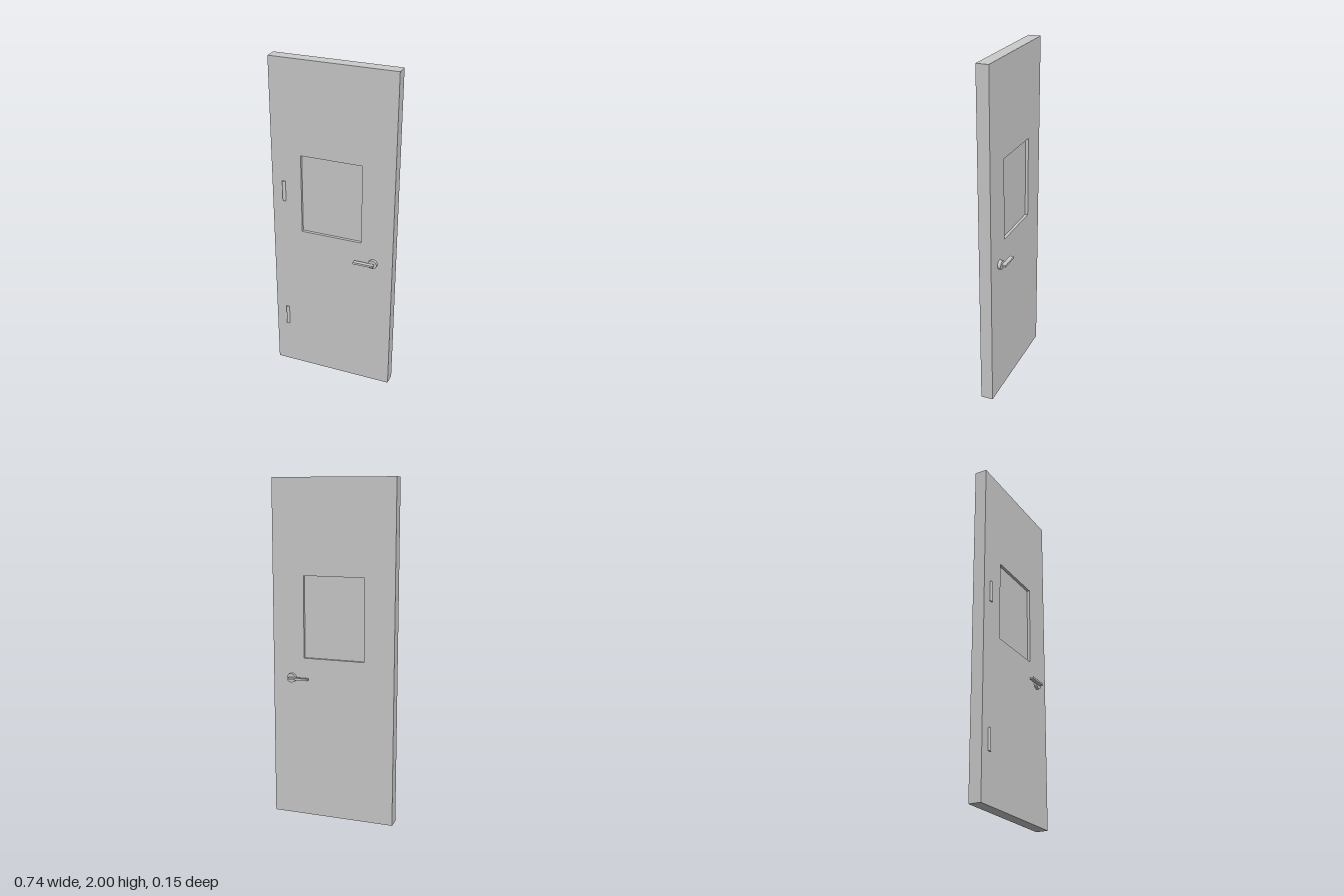
import * as THREE from 'three';

const W = 0.74, H = 2, T = 0.072;
const WIN = { x0: -0.19, x1: 0.178, y0: 0.964, y1: 1.446 };

export function createModel() {
  const model = new THREE.Group();
  model.name = 'door';
  const material = new THREE.MeshStandardMaterial({ color: 0xcccccc });
  const flat = new THREE.MeshStandardMaterial({ color: 0xcccccc, flatShading: true });

  const add = (parent, name, geometry, x, y, z, mat = material) => {
    const mesh = new THREE.Mesh(geometry, mat);
    mesh.name = name;
    mesh.position.set(x, y, z);
    parent.add(mesh);
    return mesh;
  };

  // Door slab with a rectangular window opening
  const slab = new THREE.Shape();
  slab.moveTo(-W / 2, 0).lineTo(W / 2, 0).lineTo(W / 2, H).lineTo(-W / 2, H).closePath();
  const hole = new THREE.Path();
  hole.moveTo(WIN.x0, WIN.y0).lineTo(WIN.x0, WIN.y1).lineTo(WIN.x1, WIN.y1).lineTo(WIN.x1, WIN.y0).closePath();
  slab.holes.push(hole);
  add(model, 'doorSlab', new THREE.ExtrudeGeometry(slab, { depth: T, bevelEnabled: false }), 0, 0, -T / 2);

  // Window pane, recessed on both faces
  add(model, 'windowPane', new THREE.BoxGeometry(WIN.x1 - WIN.x0, WIN.y1 - WIN.y0, 0.038),
    (WIN.x0 + WIN.x1) / 2, (WIN.y0 + WIN.y1) / 2, 0);

  // Hinge barrels, half sunk into the front face
  for (const [name, y] of [['upperHinge', 1.21], ['lowerHinge', 0.343]]) {
    add(model, name, new THREE.CylinderGeometry(0.01, 0.01, 0.126, 12), -0.298, y, T / 2, flat);
  }

  // Round rosette and flat lever on each face
  const handles = [
    { name: 'frontHandle', side: 1, rosetteEnd: 0.053, leverMid: 0.0635 },
    { name: 'backHandle', side: -1, rosetteEnd: 0.055, leverMid: 0.067 },
  ];
  for (const { name, side, rosetteEnd, leverMid } of handles) {
    const handle = new THREE.Group();
    handle.name = name;
    const start = 0.03;
    const rosette = add(handle, 'rosette', new THREE.CylinderGeometry(0.027, 0.027, rosetteEnd - start, 32),
      0.253, 0.843, side * (start + rosetteEnd) / 2);
    rosette.rotation.x = Math.PI / 2;
    add(handle, 'lever', new THREE.BoxGeometry(0.121, 0.012, 0.024), 0.2035, 0.843, side * leverMid);
    model.add(handle);
  }

  return model;
}
